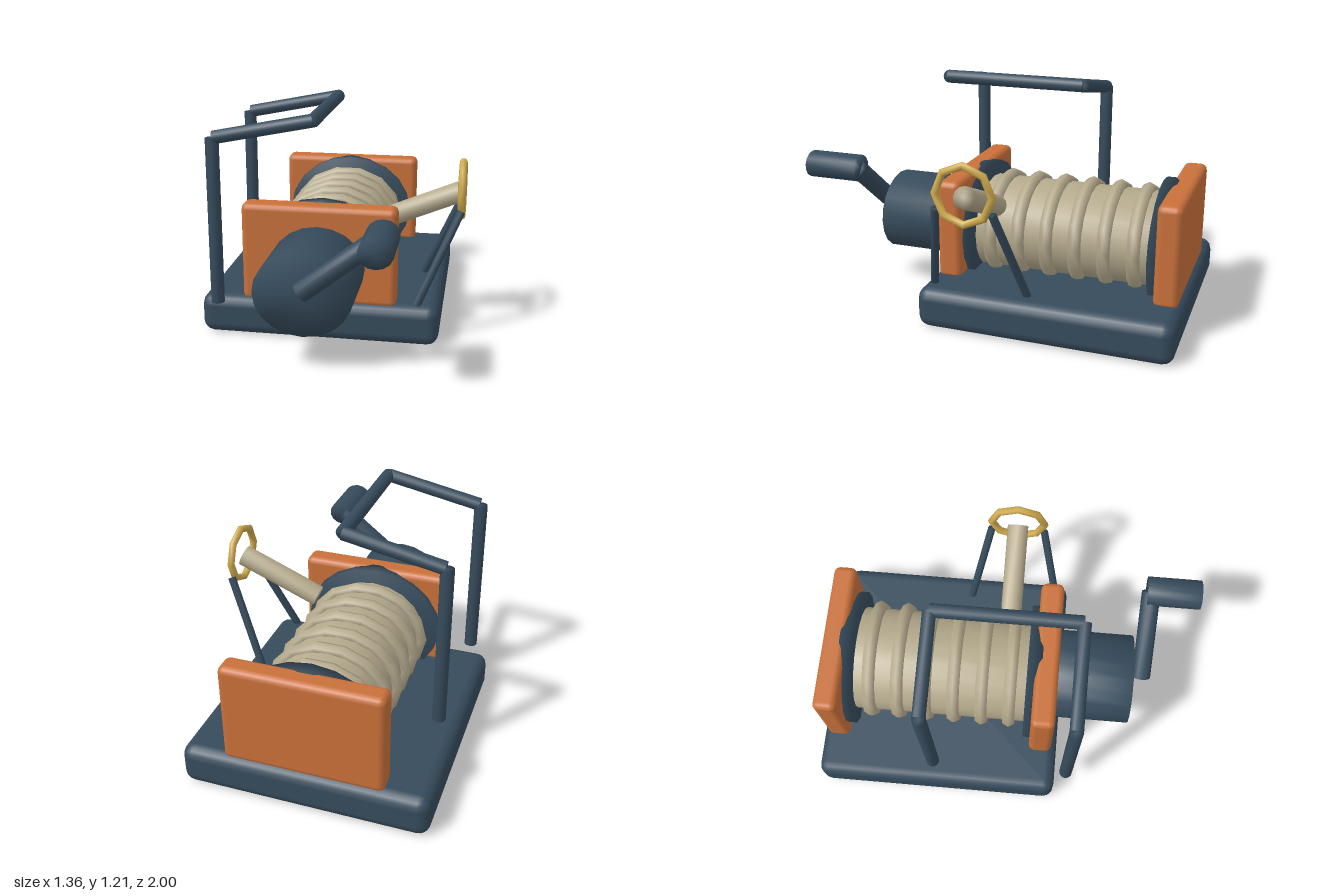
import * as THREE from 'three';
import { mergeVertices } from 'three/addons/utils/BufferGeometryUtils.js';
import { RoundedBoxGeometry } from 'three/addons/geometries/RoundedBoxGeometry.js';

const mat = (name, color) => new THREE.MeshStandardMaterial({ name, color });

// Share vertices between sides and caps so the shading runs over the rims
function weld(geometry) {
  geometry.deleteAttribute('normal');
  geometry.deleteAttribute('uv');
  const g = mergeVertices(geometry, 1e-4);
  g.computeVertexNormals();
  return g;
}

export function createModel() {
  const root = new THREE.Group();
  root.name = 'winch';
  const steel = mat('dark steel', 0x364b5c);
  const orange = mat('orange paint', 0xc8703a);
  const rope = mat('rope', 0xb5aa8d);
  const brass = mat('brass', 0xd0ab4e);

  const AX = -0.055, AY = 0.4, SQUASH = 0.87; // drum axis, drum is a little flattened

  function add(name, geometry, material, x = 0, y = 0, z = 0) {
    const m = new THREE.Mesh(geometry, material);
    m.name = name;
    m.position.set(x, y, z);
    root.add(m);
    return m;
  }

  const block = (name, material, x0, x1, y0, y1, z0, z1, r) =>
    add(name, new RoundedBoxGeometry(x1 - x0, y1 - y0, z1 - z0, 2, r), material,
      (x0 + x1) / 2, (y0 + y1) / 2, (z0 + z1) / 2);

  // Flattened cylinder lying along z
  function barrel(name, material, r, z0, z1, x = AX, y = AY, sides = 20) {
    const g = new THREE.CylinderGeometry(r, r, z1 - z0, sides);
    g.rotateX(Math.PI / 2).scale(1, SQUASH, 1);
    add(name, weld(g), material, x, y, (z0 + z1) / 2);
  }

  // Round bar between two points
  function rod(name, material, a, b, r, sides = 12) {
    const p = new THREE.Vector3(...a), d = new THREE.Vector3(...b).sub(p);
    const m = add(name, weld(new THREE.CylinderGeometry(r, r, d.length(), sides)), material);
    m.position.copy(p).addScaledVector(d, 0.5);
    m.quaternion.setFromUnitVectors(new THREE.Vector3(0, 1, 0), d.normalize());
  }

  // Base and the two bearing plates
  block('base', steel, -0.68, 0.573, 0, 0.213, -1, 0.31, 0.06);
  block('frontPlate', orange, -0.458, 0.35, 0.19, 0.717, 0.154, 0.279, 0.034);
  block('backPlate', orange, -0.458, 0.35, 0.19, 0.717, -0.972, -0.848, 0.034);

  // Drum with end flanges and rope coils
  barrel('drum', rope, 0.285, -0.83, 0.14);
  barrel('frontFlange', steel, 0.37, 0.115, 0.19);
  barrel('backFlange', steel, 0.37, -0.88, -0.805);
  for (let i = 0; i < 6; i++) {
    const coil = new THREE.TorusGeometry(0.293, 0.037, 6, 14);
    coil.scale(1, SQUASH, 1);
    add('ropeCoil', weld(coil), rope, AX, AY, -0.723 + i * 0.151);
  }

  // Motor housing and hand crank
  barrel('motor', steel, 0.245, 0.25, 0.68);
  rod('crankArm', steel, [-0.05, 0.437, 0.738], [0.33, 0.735, 0.738], 0.05);
  barrel('crankHandle', steel, 0.08, 0.717, 1, 0.332, 0.738, 14);

  // Overhead frame
  for (const z of [-0.37, 0.37]) {
    rod('framePost', steel, [-0.564, 0.21, z], [-0.564, 1.075, z], 0.035);
    rod('frameArm', steel, [-0.557, 1.077, z], [-0.055, 1.177, z], 0.034);
  }
  rod('frameCrossbar', steel, [-0.055, 1.177, -0.37], [-0.055, 1.177, 0.37], 0.035);

  // Rope leading out through the guide ring
  rod('leadRope', rope, [0.222, 0.58, 0], [0.65, 0.757, 0], 0.056);
  const ring = new THREE.TorusGeometry(0.145, 0.02, 8, 8);
  ring.rotateY(Math.PI / 2);
  add('guideRing', weld(ring), brass, 0.66, 0.77, 0);
  for (const s of [-1, 1])
    rod('ringStrut', steel, [0.456, 0.21, 0.25 * s], [0.66, 0.69, 0.145 * s], 0.021, 8);

  return root;
}
